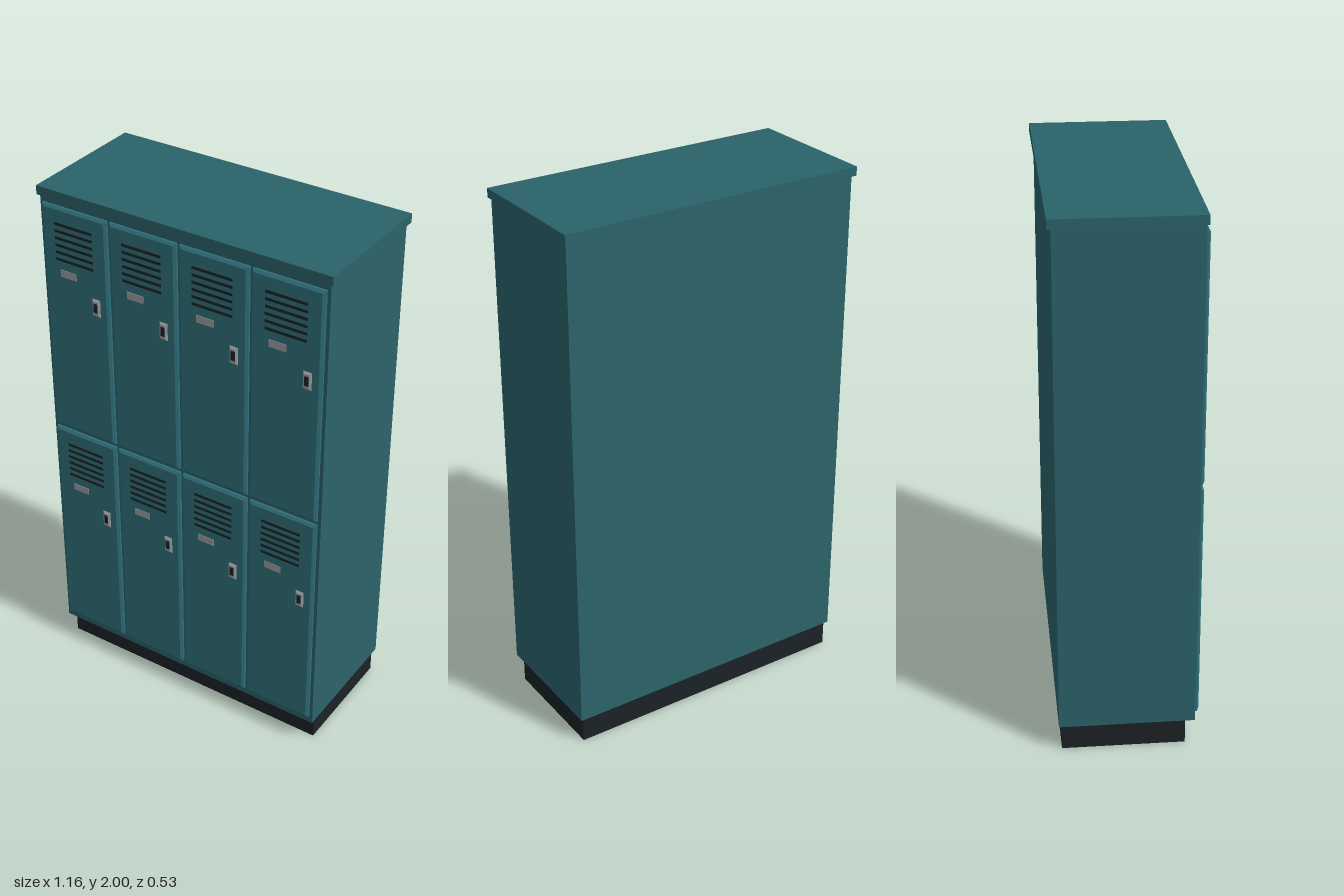
import * as THREE from 'three';

const paint = (color) => new THREE.MeshStandardMaterial({ color, flatShading: true });
const bodyPaint = paint(0x2b636a);
const doorPaint = paint(0x30707a);
const steel = paint(0x9a9ea2);
const dark = paint(0x1c2226);

// Box given by its extents on each axis
function box(name, material, [x0, x1], [y0, y1], [z0, z1]) {
  const mesh = new THREE.Mesh(new THREE.BoxGeometry(x1 - x0, y1 - y0, z1 - z0), material);
  mesh.position.set((x0 + x1) / 2, (y0 + y1) / 2, (z0 + z1) / 2);
  mesh.name = name;
  return mesh;
}

// Rectangular plate with a chamfered front edge; its back lies at z = 0
function plate(w, h, depth, chamfer, chamferDepth) {
  const x = w / 2 - chamfer, y = h / 2 - chamfer;
  const shape = new THREE.Shape([
    new THREE.Vector2(-x, -y), new THREE.Vector2(x, -y),
    new THREE.Vector2(x, y), new THREE.Vector2(-x, y),
  ]);
  const geometry = new THREE.ExtrudeGeometry(shape, {
    depth: depth - chamferDepth, bevelEnabled: true, bevelSegments: 1,
    bevelSize: chamfer, bevelThickness: chamferDepth,
  });
  // Flatten the rear bevel so the back stays full size
  const p = geometry.attributes.position;
  for (let i = 0; i < p.count; i++) if (p.getZ(i) < 0) p.setZ(i, 0);
  geometry.computeVertexNormals();
  return geometry;
}

const doorGeometry = plate(0.27, 0.9, 0.015, 0.01, 0.007);
const latchGeometry = plate(0.032, 0.066, 0.008, 0.007, 0.005);

// One door with louvres, name plate and latch, centred on its own origin
function makeDoor() {
  const door = new THREE.Group();
  door.name = 'door';

  const panel = new THREE.Mesh(doorGeometry, doorPaint);
  panel.name = 'doorPanel';
  door.add(panel);

  for (let i = 0; i < 6; i++) {
    const y = 0.387 - i * 0.027;
    door.add(box('ventSlot', dark, [-0.082, 0.076], [y - 0.005, y + 0.005], [0.012, 0.0165]));
  }
  door.add(box('namePlate', steel, [-0.066, 0.002], [0.186, 0.214], [0.012, 0.0165]));

  const latch = new THREE.Mesh(latchGeometry, steel);
  latch.name = 'latch';
  latch.position.set(0.083, 0.107, 0.014);
  door.add(latch);
  door.add(box('latchPull', dark, [0.075, 0.091], [0.09, 0.126], [0.016, 0.0228]));
  return door;
}

export function createModel() {
  const model = new THREE.Group();
  model.name = 'lockerBank';

  model.add(box('plinth', dark, [-0.558, 0.558], [0, 0.101], [-0.24, 0.207]));
  model.add(box('cabinet', bodyPaint, [-0.57, 0.57], [0.1, 1.967], [-0.25, 0.241]));
  model.add(box('topCap', bodyPaint, [-0.58, 0.58], [1.967, 2], [-0.264, 0.248]));

  // Two rows of four doors
  for (const y of [0.58, 1.495]) {
    for (let i = 0; i < 4; i++) {
      const door = makeDoor();
      door.position.set((i - 1.5) * 0.2815, y, 0.2405);
      model.add(door);
    }
  }
  return model;
}
